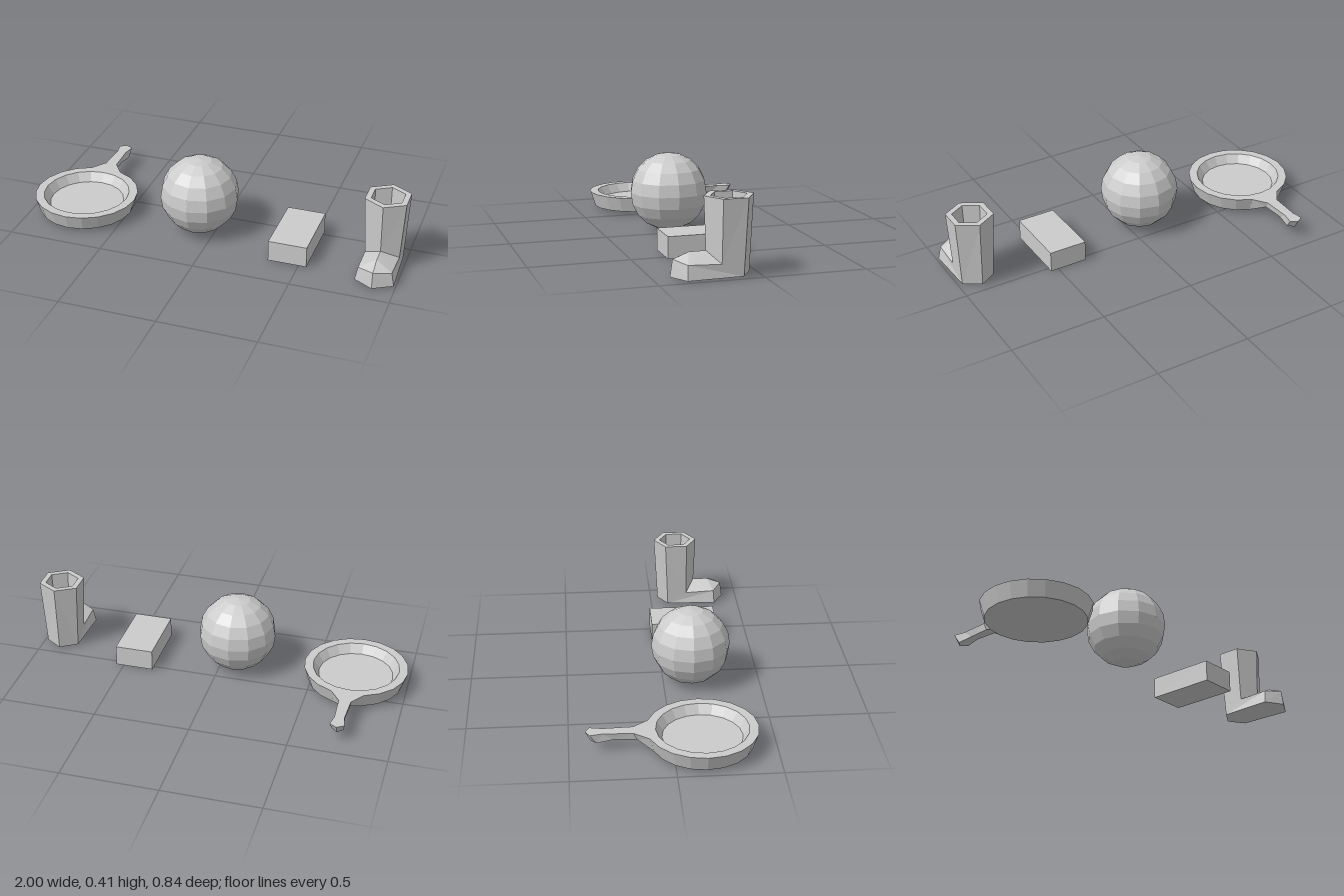
import * as THREE from 'three';

const material = new THREE.MeshStandardMaterial({ color: 0xcccccc, flatShading: true });

function part(name, geometry, x = 0, y = 0, z = 0) {
  const mesh = new THREE.Mesh(geometry, material);
  mesh.name = name;
  mesh.position.set(x, y, z);
  return mesh;
}

// Faces joining successive half-loops of corners
function loft(loops) {
  const faces = [];
  for (let k = 0; k < loops.length - 1; k++) {
    const a = loops[k], b = loops[k + 1];
    for (let i = 0; i < a.length - 1; i++) faces.push([a[i], a[i + 1], b[i + 1], b[i]]);
  }
  return faces;
}

// Faceted solid from the faces of its +x half, mirrored across x = 0
function mirrored(faces) {
  const positions = [];
  for (const f of faces) {
    for (let i = 1; i < f.length - 1; i++) {
      positions.push(...f[0], ...f[i], ...f[i + 1]);
      for (const [x, y, z] of [f[0], f[i + 1], f[i]]) positions.push(-x, y, z);
    }
  }
  const geometry = new THREE.BufferGeometry();
  geometry.setAttribute('position', new THREE.Float32BufferAttribute(positions, 3));
  geometry.computeVertexNormals();
  return geometry;
}

function createPan() {
  const pan = new THREE.Group();
  pan.name = 'fryingPan';
  const profile = [[0, 0.017], [0.247, 0.017], [0.272, 0.097], [0.226, 0.097], [0.195, 0.05], [0, 0.05]];
  pan.add(part('panBowl', new THREE.LatheGeometry(profile.map(p => new THREE.Vector2(...p)), 20)));

  // Handle: half width and z at the top, then half width, z and y at the bottom
  const rows = [
    [0.084, -0.259, 0.076, -0.235, 0.017],
    [0.031, -0.333, 0.027, -0.315, 0.06],
    [0.025, -0.48, 0.021, -0.43, 0.06],
    [0.037, -0.541, 0.03, -0.51, 0.05],
    [0, -0.563, 0, -0.538, 0.05],
  ].map(([xt, zt, xb, zb, yb]) => [[0, 0.097, zt], [xt, 0.097, zt], [xb, yb, zb], [0, yb, zb]]);
  pan.add(part('panHandle', mirrored(loft(rows))));
  pan.position.set(-0.727, 0, 0.143);
  return pan;
}

function createBoot() {
  // Half of a hexagon, from front corner to back corner
  const halfHex = (r, y) => [0, 1, 2, 3].map(i => {
    const a = i * Math.PI / 3;
    return [r * Math.sin(a), y, 0.14 + r * Math.cos(a)];
  });
  // Shaft with its hollow opening
  const ankle = [[0, 0.12, 0.25], [0.087, 0.072, 0.2], [0.087, 0.008, 0.095], [0, 0.008, 0.04]];
  const lining = halfHex(0.074, 0.12);
  const faces = loft([ankle, halfHex(0.12, 0.373), halfHex(0.088, 0.373), lining]);
  faces.push(lining);

  // Foot and sole
  const [front, side, heelSide, heel] = ankle;
  const ridge = [0, 0.12, 0.33], tip = [0, 0.09, 0.408], toeSide = [0.084, 0.078, 0.36];
  const soleTip = [0, 0.008, 0.42], soleSide = [0.098, 0.008, 0.365];
  faces.push(
    [front, ridge, toeSide, side],
    [ridge, tip, toeSide],
    [tip, soleTip, soleSide, toeSide],
    [toeSide, soleSide, heelSide, side],
    [heel, heelSide, soleSide, soleTip],
  );
  return part('boot', mirrored(faces), 0.893);
}

export function createModel() {
  const model = new THREE.Group();
  model.name = 'objectSet';
  model.add(
    createPan(),
    part('ball', new THREE.SphereGeometry(0.204, 12, 10), -0.086, 0.207, 0.143),
    part('brick', new THREE.BoxGeometry(0.2, 0.11, 0.355), 0.44, 0.056, 0.149),
    createBoot(),
  );
  return model;
}
